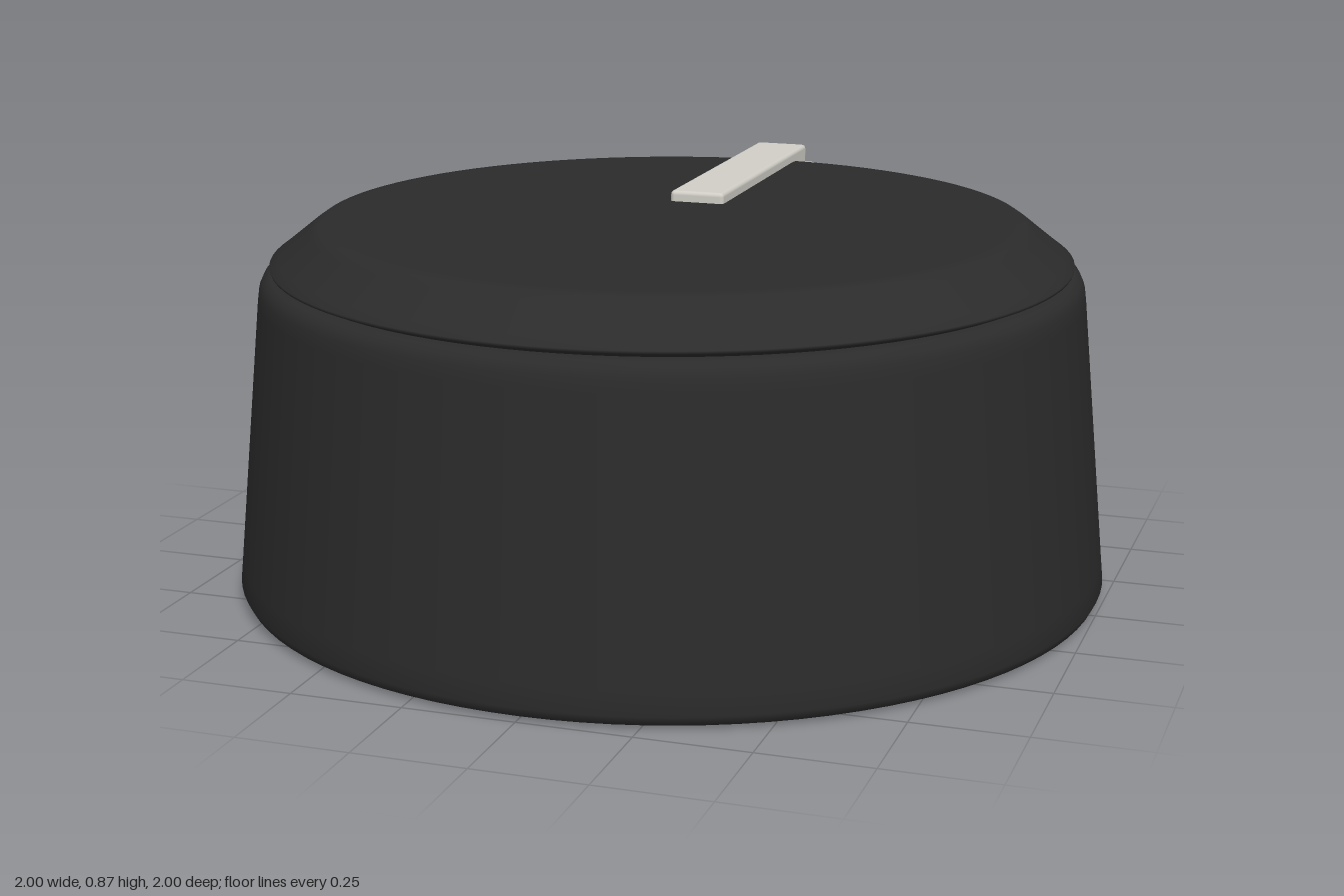
import * as THREE from 'three';
import { RoundedBoxGeometry } from 'three/addons/geometries/RoundedBoxGeometry.js';

const black = new THREE.MeshStandardMaterial({ color: 0x2b2b2b });
black.name = 'blackPlastic';
const ivory = new THREE.MeshStandardMaterial({ color: 0xd0cec6 });
ivory.name = 'ivoryMarker';

// Turned part from [radius, height] pairs, listed bottom to top
function turned(name, points) {
  const profile = points.map(([r, y]) => new THREE.Vector2(r, y));
  const mesh = new THREE.Mesh(new THREE.LatheGeometry(profile, 96), black);
  mesh.name = name;
  return mesh;
}

// Softly rounded bar spanning y0..y1 and z0..z1
function bar(name, y0, y1, z0, z1) {
  const geometry = new RoundedBoxGeometry(0.13, y1 - y0, z1 - z0, 2, 0.01);
  const mesh = new THREE.Mesh(geometry, ivory);
  mesh.position.set(0, (y0 + y1) / 2, (z0 + z1) / 2);
  mesh.name = name;
  return mesh;
}

export function createModel() {
  const knob = new THREE.Group();
  knob.name = 'controlKnob';

  // Tapered skirt with rounded rims
  knob.add(turned('skirt', [
    [0, 0], [0.95, 0], [0.972, 0.002], [0.99, 0.01], [1, 0.03], [0.995, 0.08],
    [0.938, 0.68], [0.934, 0.71], [0.925, 0.73], [0.91, 0.74], [0.89, 0.742], [0.8, 0.742],
  ]));

  // Bevelled cap above a narrow seam
  knob.add(turned('cap', [
    [0.88, 0.74], [0.89, 0.748], [0.908, 0.753], [0.91, 0.76],
    [0.89, 0.775], [0.82, 0.831], [0.8, 0.845], [0.77, 0.847], [0, 0.847],
  ]));

  // Pointer line across the top and down the back
  knob.add(bar('topMarker', 0.815, 0.872, -0.897, -0.18));
  knob.add(bar('backMarker', 0.16, 0.81, -1, -0.87));
  return knob;
}
